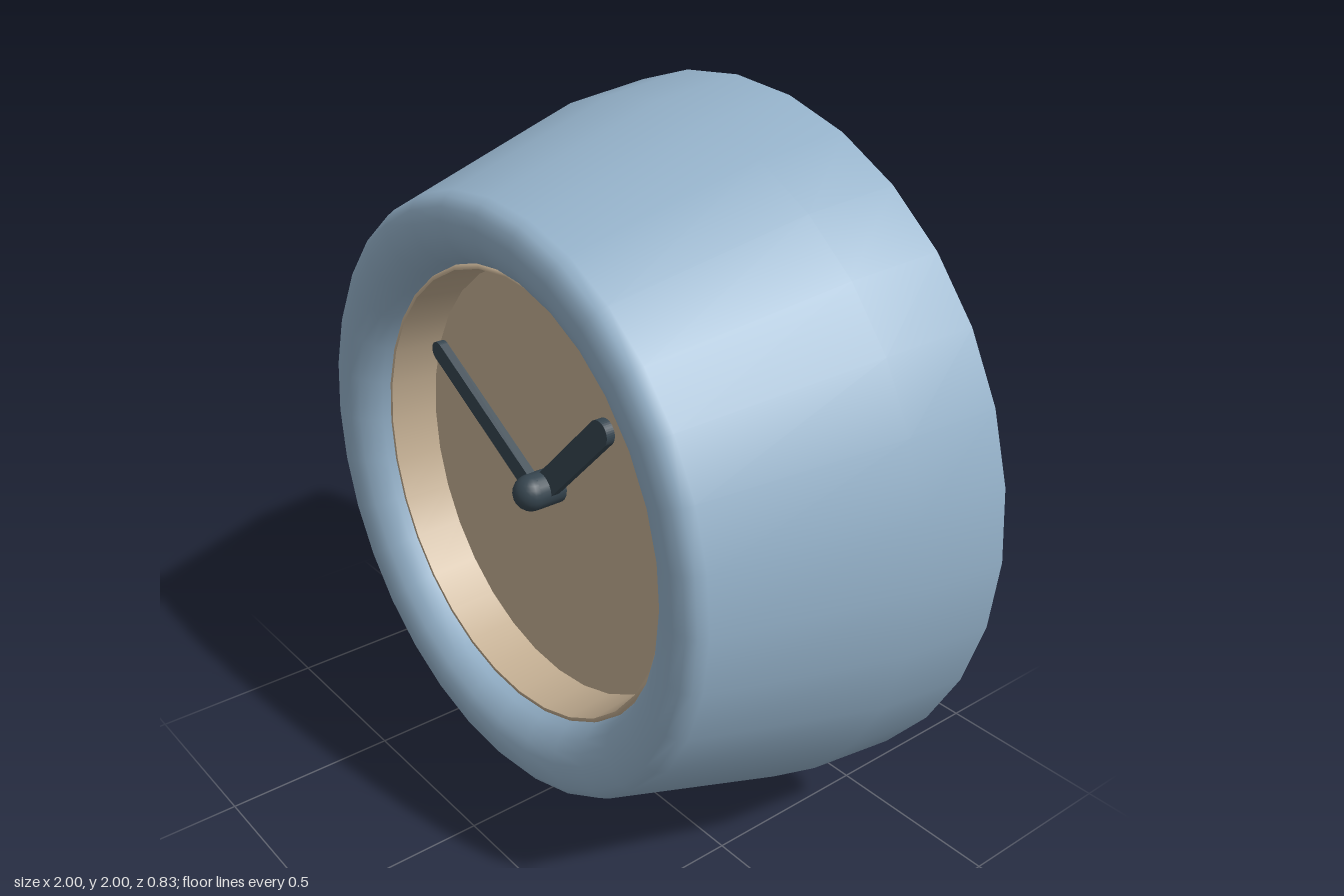
import * as THREE from 'three';

const SEGMENTS = 32;

export function createModel() {
  const blue = new THREE.MeshStandardMaterial({ color: 0x94b1c9 });
  const tan = new THREE.MeshStandardMaterial({ color: 0xc4af93 });
  const charcoal = new THREE.MeshStandardMaterial({ color: 0x36454f });
  blue.name = 'blue shell';
  tan.name = 'tan face';
  charcoal.name = 'charcoal hands';
  // The shell, dial and hub tube are thin open surfaces
  for (const m of [blue, tan, charcoal]) m.side = THREE.DoubleSide;

  const clock = new THREE.Group();
  clock.name = 'clock';
  clock.position.y = 1;

  function add(name, geometry, material, z = 0) {
    const mesh = new THREE.Mesh(geometry, material);
    mesh.name = name;
    mesh.position.z = z;
    clock.add(mesh);
    return mesh;
  }

  // Profiles are [radius, z] pairs turned around the front-back axis
  function turned(profile, segments = SEGMENTS) {
    const points = profile.map(([r, z]) => new THREE.Vector2(r, z));
    return new THREE.LatheGeometry(points, segments).rotateX(Math.PI / 2);
  }

  // Flared housing, open at the back, rolling inward at the front
  add('housing', turned([
    [1, -0.413], [0.97, -0.15], [0.815, 0.365], [0.803, 0.39], [0.78, 0.407],
    [0.745, 0.413], [0.71, 0.409], [0.68, 0.396], [0.652, 0.375],
    [0.632, 0.347], [0.622, 0.315],
  ]), blue);

  // Recessed dial: thin lip, tapered wall and flat disc
  add('dialLip', turned([[0.624, 0.315], [0.62, 0.328], [0.61, 0.328]]), tan);
  add('dialWall', turned([[0.61, 0.328], [0.597, 0.19]]), tan);
  add('dial', new THREE.CircleGeometry(0.597, SEGMENTS), tan, 0.19);

  // Round-ended hand running from the hub to (x, y)
  function hand(name, x, y, radius, z) {
    const length = Math.hypot(x, y);
    const shape = new THREE.Shape();
    shape.absarc(length, 0, radius, -Math.PI / 2, Math.PI / 2);
    shape.absarc(0, 0, radius, Math.PI / 2, Math.PI * 1.5);
    const geometry = new THREE.ExtrudeGeometry(shape, {
      depth: 0.025, bevelEnabled: false, curveSegments: 10,
    });
    add(name, geometry, charcoal, z).rotation.z = Math.atan2(y, x);
  }
  hand('hourHand', 0.25, 0.255, 0.036, 0.215);
  hand('minuteHand', -0.44, 0.258, 0.027, 0.242);

  // Hub: open tube through the dial with a rounded cap
  add('hubTube', turned([[0.05, 0.155], [0.05, 0.27]], 20), charcoal);
  add('hubCap', new THREE.SphereGeometry(0.05, 20, 12), charcoal, 0.27);

  const model = new THREE.Group();
  model.name = 'wallClock';
  model.add(clock);
  return model;
}
